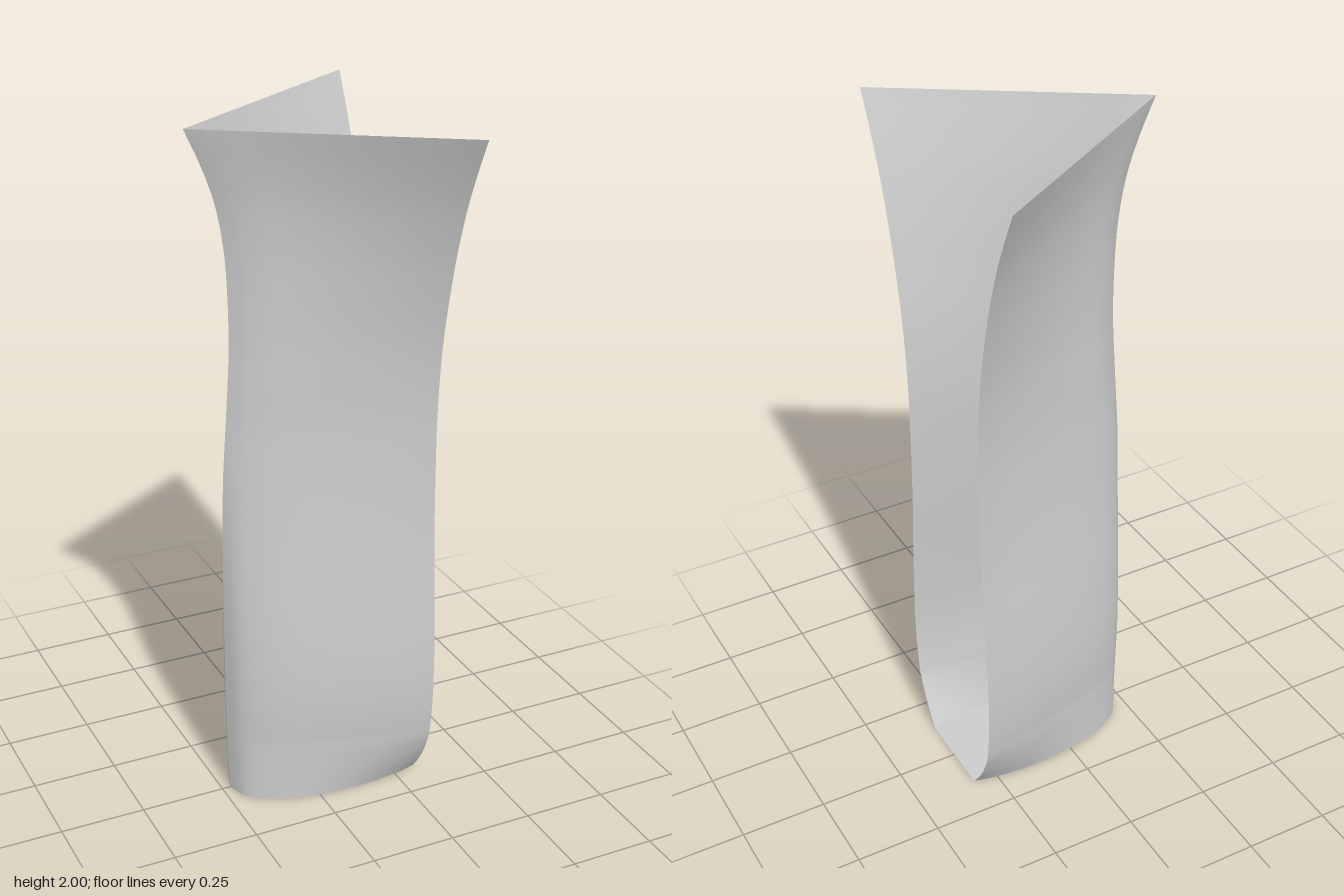
import * as THREE from 'three';

const OPEN_X = 0.32; // plane of the open end
// Height, stem x, half width at the open end
const RISE = [
  [0, -0.225, 0.13], [0.05, -0.227, 0.167], [0.1, -0.228, 0.196], [0.16, -0.23, 0.22], [0.25, -0.232, 0.233],
  [0.38, -0.234, 0.238], [0.6, -0.235, 0.229], [0.8, -0.234, 0.215], [1, -0.23, 0.208], [1.2, -0.217, 0.208],
  [1.4, -0.206, 0.225], [1.6, -0.21, 0.265], [1.7, -0.22, 0.292], [1.8, -0.24, 0.325], [1.9, -0.275, 0.367], [2, -0.32, 0.415],
];
// Section half widths along the length, stem to open end
const T = [0, 0.03, 0.08, 0.17, 0.3, 0.5, 0.7, 0.88, 1];
const BASE = [0, 0.05, 0.08, 0.11, 0.135, 0.152, 0.155, 0.145, 0.13]; // absolute
const LOW = [0, 0.2, 0.34, 0.48, 0.61, 0.75, 0.87, 0.95, 1]; // relative to the open end
const WAIST = [0, 0.08, 0.2, 0.34, 0.46, 0.61, 0.76, 0.9, 1];

const lerp = THREE.MathUtils.lerp;

// Points of one half section at a given height
function section(y, stem, width, count) {
  const pts = T.map((t, i) => {
    let z;
    if (y < 0.2) z = lerp(BASE[i], LOW[i] * 0.226, Math.min(1, (width - 0.13) / 0.096));
    else if (y < 1.3) z = width * lerp(LOW[i], WAIST[i], THREE.MathUtils.smoothstep(y, 0.3, 1.3));
    else z = width * lerp(WAIST[i], t, (y - 1.3) / 0.7);
    return new THREE.Vector2(lerp(stem, OPEN_X, t), z);
  });
  return new THREE.SplineCurve(pts).getPoints(count);
}

// One side wall, lofted through the sections
function wallGeometry(side) {
  const rows = 75, cols = 40, pos = [], index = [];
  const rise = new THREE.CatmullRomCurve3(RISE.map((r) => new THREE.Vector3(r[1], r[0], r[2])));
  for (let j = 0; j <= rows; j++) {
    const p = rise.getPoint(j / rows);
    for (const q of section(p.y, p.x, p.z, cols)) pos.push(q.x, p.y, side * q.y);
  }
  for (let j = 0; j < rows; j++) {
    for (let i = 0; i < cols; i++) {
      const a = j * (cols + 1) + i, b = a + 1, c = a + cols + 1, d = c + 1;
      if (side > 0) index.push(a, b, d, a, d, c);
      else index.push(a, d, b, a, c, d);
    }
  }
  const geo = new THREE.BufferGeometry();
  geo.setAttribute('position', new THREE.Float32BufferAttribute(pos, 3));
  geo.setIndex(index);
  geo.computeVertexNormals();
  return geo;
}

export function createModel() {
  const group = new THREE.Group();
  group.name = 'bowSection';
  const material = new THREE.MeshStandardMaterial({ color: 0xcccccc, side: THREE.DoubleSide });
  const add = (name, geo) => {
    const mesh = new THREE.Mesh(geo, material);
    mesh.name = name;
    group.add(mesh);
  };

  // Mirrored side walls meeting at the stem
  add('frontWall', wallGeometry(1));
  add('backWall', wallGeometry(-1));

  // Flat bottom plate following the foot of both walls
  const foot = section(0, RISE[0][1], RISE[0][2], 40);
  const mirrored = foot.slice(1).reverse().map((p) => new THREE.Vector2(p.x, -p.y));
  const plate = new THREE.ShapeGeometry(new THREE.Shape([...foot, ...mirrored]));
  plate.rotateX(Math.PI / 2);
  add('bottomPlate', plate);

  return group;
}
